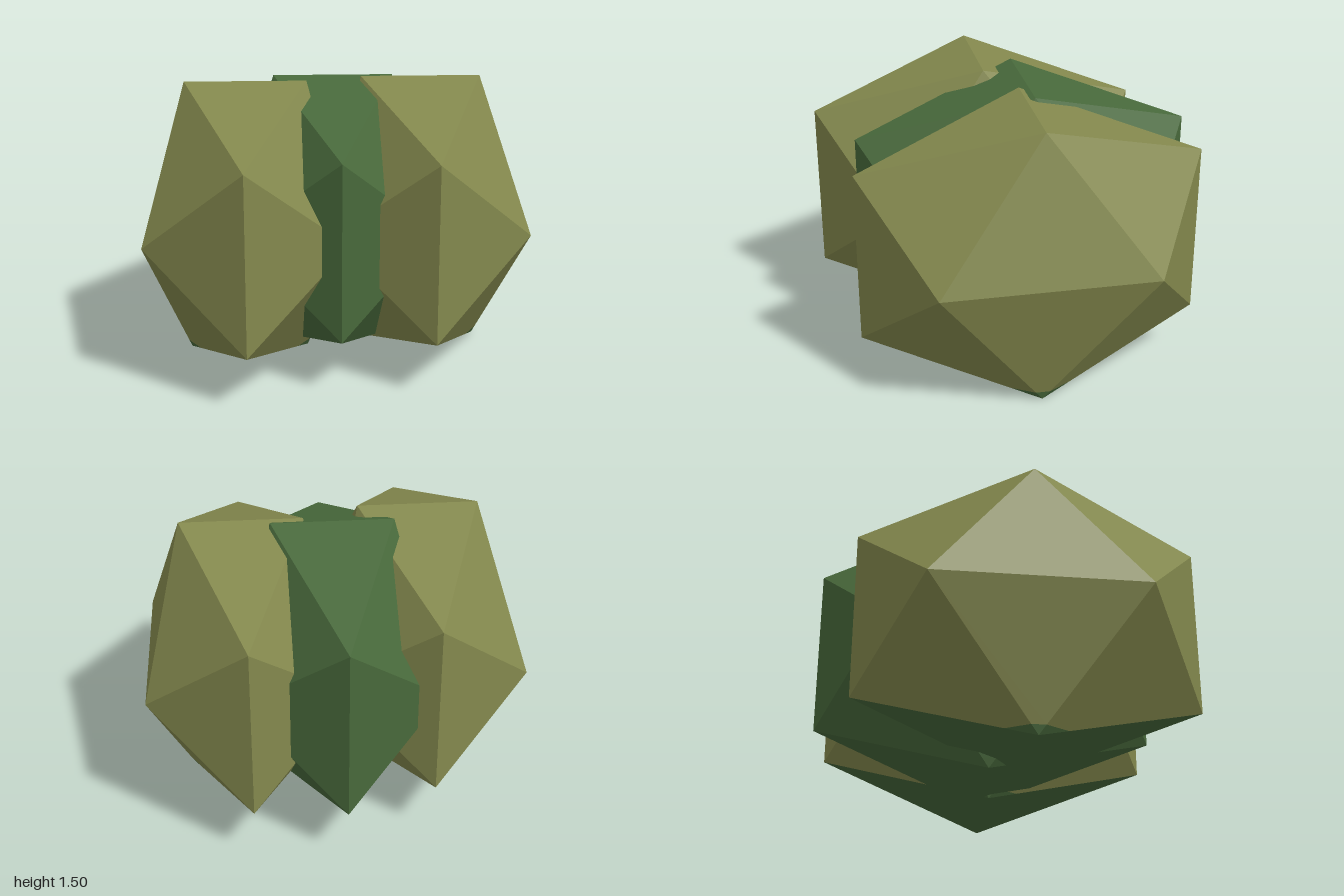
import * as THREE from 'three';

const olive = new THREE.MeshStandardMaterial({ color: 0x83884d, flatShading: true });
olive.name = 'olive leaves';
const green = new THREE.MeshStandardMaterial({ color: 0x48693b, flatShading: true });
green.name = 'dark green leaves';

const HALF_HEIGHT = 0.75;
const SHADE_LINE = 0.05; // underside colour reaches this high on the side faces

function geometryFrom(points) {
  const geometry = new THREE.BufferGeometry().setFromPoints(points);
  geometry.computeVertexNormals();
  return geometry;
}

// A stretched icosahedron standing on its lower edge, split into body and underside faces
function makeClump(name, x, z, bodyMaterial) {
  const source = new THREE.IcosahedronGeometry(1, 0);
  source.scale(0.618, HALF_HEIGHT / 0.85065, 1.064);
  source.translate(0, HALF_HEIGHT, 0);
  const pos = source.attributes.position;
  const body = [], underside = [];

  for (let i = 0; i < pos.count; i += 3) {
    const tri = [0, 1, 2].map((k) => new THREE.Vector3().fromBufferAttribute(pos, i + k));
    const low = tri.filter((v) => v.y < 0.01).length;
    if (low === 2) {
      underside.push(...tri);
    } else if (low === 1) {
      // cut off the small corner touching the ground
      while (tri[0].y >= 0.01) tri.push(tri.shift());
      const [a, b, c] = tri;
      const p = a.clone().lerp(b, SHADE_LINE / b.y);
      const q = a.clone().lerp(c, SHADE_LINE / c.y);
      underside.push(a, p, q);
      body.push(p, b, c, p, c, q);
    } else {
      body.push(...tri);
    }
  }

  const clump = new THREE.Group();
  clump.name = name;
  const bodyMesh = new THREE.Mesh(geometryFrom(body), bodyMaterial);
  bodyMesh.name = name + 'Body';
  const underMesh = new THREE.Mesh(geometryFrom(underside), green);
  underMesh.name = name + 'Underside';
  clump.add(bodyMesh, underMesh);
  clump.position.set(x, 0, z);
  return clump;
}

export function createModel() {
  const bush = new THREE.Group();
  bush.name = 'bush';
  bush.add(
    makeClump('rightClump', -0.475, 0.09, olive),
    makeClump('middleClump', 0, -0.095, green),
    makeClump('leftClump', 0.475, -0.043, olive),
  );
  return bush;
}
